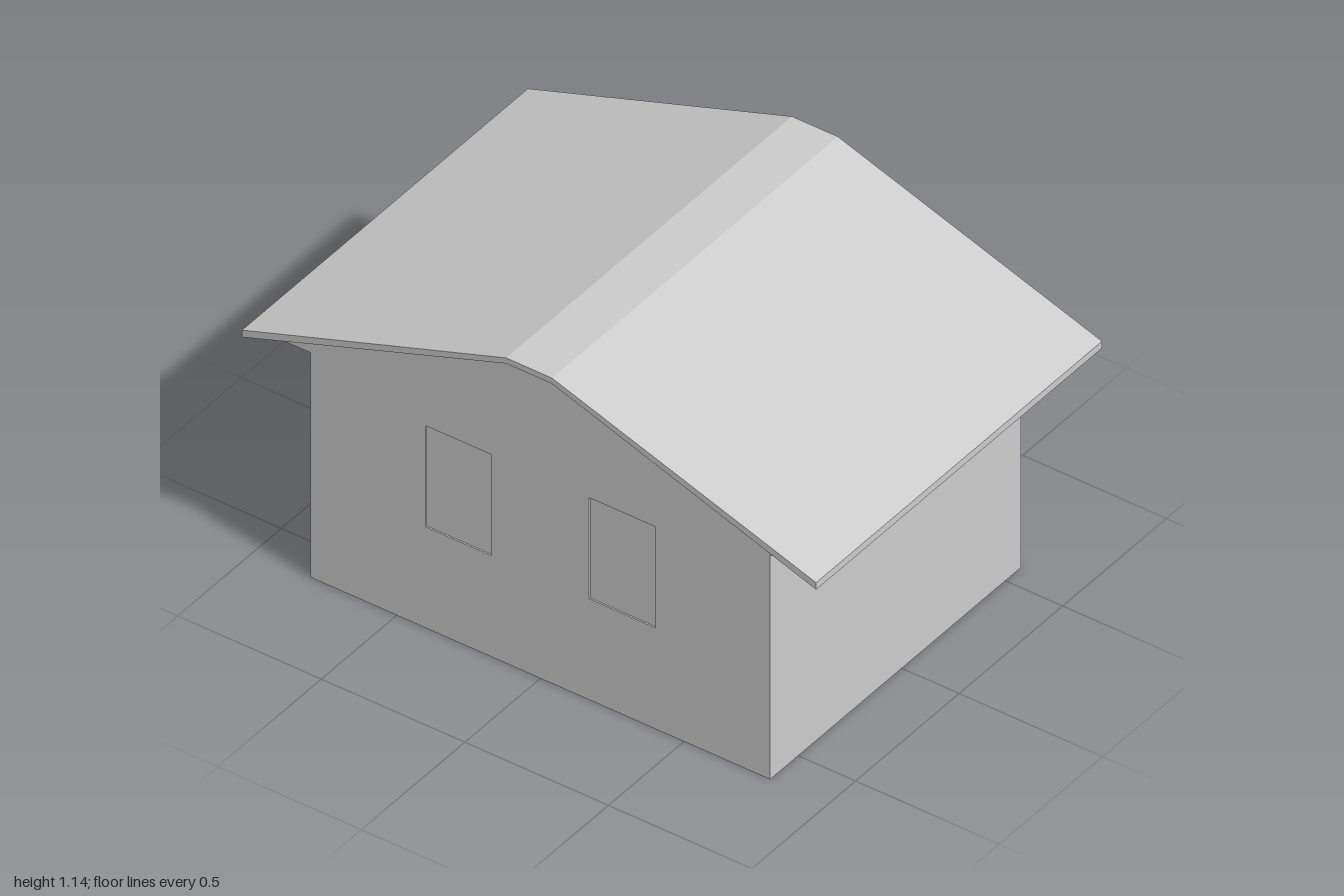
import * as THREE from 'three';

const X0 = -0.635, X1 = 0.575, W = 0.8, T = 0.01;

export function createModel() {
  const group = new THREE.Group();
  const mat = new THREE.MeshStandardMaterial({ color: 0xcccccc, flatShading: true });

  function add(name, geometry, x = 0, y = 0, z = 0) {
    const mesh = new THREE.Mesh(geometry, mat);
    mesh.name = name;
    mesh.position.set(x, y, z);
    group.add(mesh);
  }
  const box = (name, x0, x1, y0, y1, z0, z1) =>
    add(name, new THREE.BoxGeometry(x1 - x0, y1 - y0, z1 - z0),
      (x0 + x1) / 2, (y0 + y1) / 2, (z0 + z1) / 2);

  const outline = pts => pts.map(([a, b]) => new THREE.Vector2(a, b));
  const rect = (a0, a1, b0, b1) => outline([[a0, b0], [a1, b0], [a1, b1], [a0, b1]]);

  // Extrudes a (z, y) outline along x, from x0 to x1
  function slab(name, points, x0, x1, holes = []) {
    const shape = new THREE.Shape(points);
    holes.forEach(h => shape.holes.push(new THREE.Path(h)));
    const geo = new THREE.ExtrudeGeometry(shape, { depth: x1 - x0, bevelEnabled: false });
    geo.rotateY(-Math.PI / 2); // shape x becomes z, depth becomes -x
    add(name, geo, x1);
  }

  // Floor and side walls, the walls running up to the sloping roof
  box('floor', X0, X1, 0, 0.006, -W, W);
  for (const s of [-1, 1]) {
    slab(s > 0 ? 'frontSideWall' : 'backSideWall',
      outline([[s * W, 0], [s * W, 0.873], [s * (W - T), 0.877], [s * (W - T), 0]]), X0, X1);
  }

  // Wall with the wide doorway
  slab('doorWall', outline([
    [-W, 0], [-0.645, 0], [-0.645, 0.73], [0.645, 0.73], [0.645, 0],
    [W, 0], [W, 0.82], [-W, 0.82],
  ]), X1 - T, X1);

  // Opposite wall with two shallow recessed windows
  const windows = [[-0.4, -0.17], [0.17, 0.4]];
  slab('windowWall', rect(-W, W, 0, 0.82), X0, X0 + T,
    windows.map(([a, b]) => rect(a, b, 0.36, 0.72)));
  for (const [a, b] of windows) box('windowPane', X0 + 0.005, X0 + T, 0.36, 0.72, a, b);

  // Gables under both ends of the roof
  const gable = outline([[-1, 0.8], [1, 0.8], [0.08, 1.122], [-0.08, 1.122]]);
  slab('doorGable', gable, X1, 0.62);
  slab('windowGable', gable, X0, X0 + 0.04);

  // Roof shell with a flat ridge
  slab('roof', outline([
    [-1, 0.8], [-0.08, 1.12], [0.08, 1.12], [1, 0.8],
    [1, 0.825], [0.08, 1.14], [-0.08, 1.14], [-1, 0.825],
  ]), -0.69, 0.69);

  // Beam along the middle of the interior
  box('ceilingBeam', X0 + T, X1 - T, 0.765, 0.815, -0.025, 0.025);

  return group;
}
